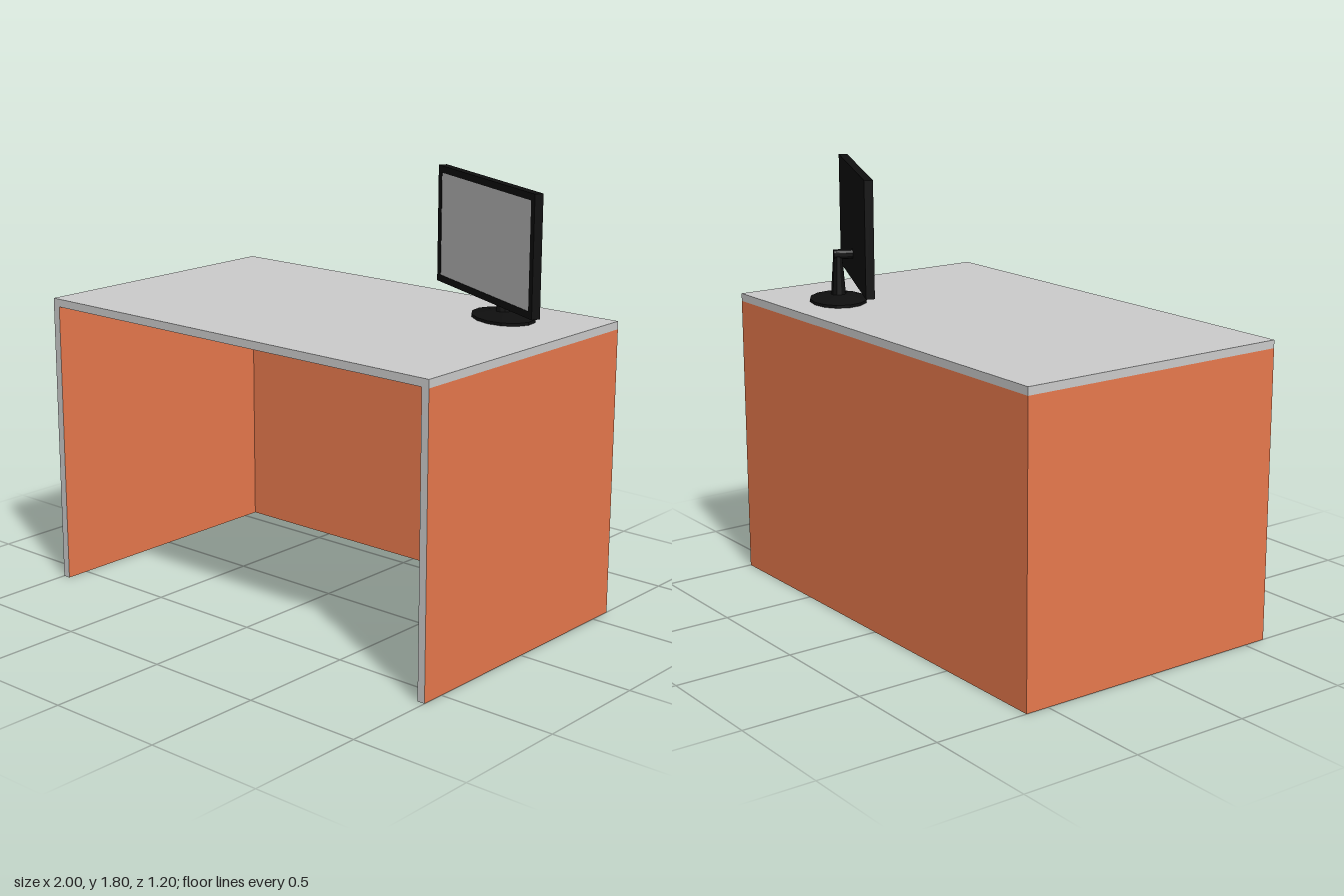
import * as THREE from 'three';

const grey = new THREE.MeshStandardMaterial({ color: 0xcccccc });
const orange = new THREE.MeshStandardMaterial({ color: 0xe8794d });
const black = new THREE.MeshStandardMaterial({ color: 0x0f0f0f, flatShading: true });

function add(parent, name, geometry, material, x, y, z) {
  const mesh = new THREE.Mesh(geometry, material);
  mesh.name = name;
  mesh.position.set(x, y, z);
  parent.add(mesh);
  return mesh;
}

const box = (w, h, d) => new THREE.BoxGeometry(w, h, d);

function createDesk() {
  const desk = new THREE.Group();
  desk.name = 'desk';
  const t = 0.033, h = 1.2, depth = 1.2;
  add(desk, 'deskTop', box(2, t, depth), grey, 0, h + t / 2, 0);
  // side panels: orange faces with a grey front edge (+z is the fifth face)
  const sideMaterials = [orange, orange, orange, orange, grey, orange];
  for (const [name, s] of [['leftPanel', 1], ['rightPanel', -1]]) {
    add(desk, name, box(t, h, depth), sideMaterials, s * (1 - t / 2), h / 2, 0);
  }
  add(desk, 'backPanel', box(2 - 2 * t, h, t), orange, 0, h / 2, -depth / 2 + t / 2);
  return desk;
}

function createMonitor() {
  const monitor = new THREE.Group();
  monitor.name = 'monitor';
  const w = 0.8, h = 0.48, t = 0.036, border = 0.028, lip = 0.004;
  const midY = 0.324;

  // housing with a thin raised rim around the screen
  add(monitor, 'housing', box(w, h, t - lip), black, 0, midY, -lip / 2);
  for (const s of [-1, 1]) {
    add(monitor, 'rimSide', box(border, h, lip), black, s * (w - border) / 2, midY, (t - lip) / 2);
    add(monitor, 'rimBar', box(w - 2 * border, border, lip), black, 0, midY + s * (h - border) / 2, (t - lip) / 2);
  }
  add(monitor, 'screen', box(w - 2 * border, h - 2 * border, 0.002), grey, 0, midY, t / 2 - lip + 0.001);

  // oval foot with a sloped top, then the neck and the arm behind the housing
  const standZ = -0.08;
  const footProfile = [[0, 0], [0.16, 0], [0.16, 0.012], [0.035, 0.03], [0, 0.03]]
    .map(([x, y]) => new THREE.Vector2(x, y));
  add(monitor, 'foot', new THREE.LatheGeometry(footProfile, 14), black, 0, 0, standZ).scale.z = 0.75;
  add(monitor, 'neck', new THREE.CylinderGeometry(0.018, 0.032, 0.19, 10), black, 0, 0.115, standZ);
  const arm = add(monitor, 'arm', new THREE.CylinderGeometry(0.021, 0.021, 0.085, 10), black, 0, 0.198, -0.055);
  arm.rotation.x = Math.PI / 2;

  monitor.position.set(0.59, 1.233, -0.275);
  monitor.rotation.y = -THREE.MathUtils.degToRad(25.3);
  return monitor;
}

export function createModel() {
  const model = new THREE.Group();
  model.name = 'deskWithMonitor';
  model.add(createDesk(), createMonitor());
  return model;
}
